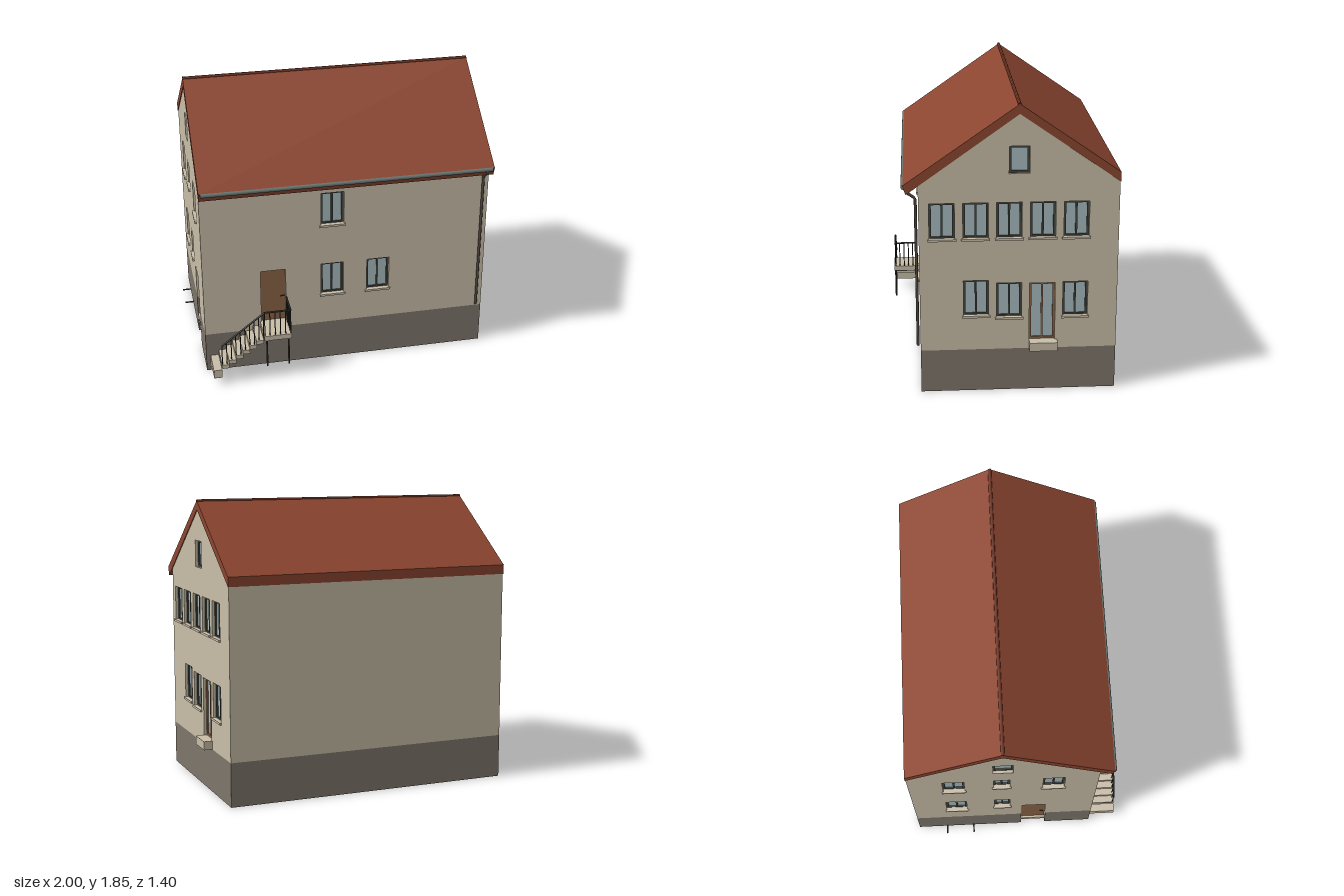
import * as THREE from 'three';

const mat = (name, color, side = THREE.FrontSide) => {
  const m = new THREE.MeshStandardMaterial({ color, side });
  m.name = name;
  return m;
};

export function createModel() {
  const M = {
    plaster: mat('plaster', 0xc8bda8),
    plinth: mat('plinth', 0x7d756b),
    roof: mat('roofTile', 0x8b4530),
    ridge: mat('darkTile', 0x6b3322),
    frame: mat('windowFrame', 0x43463f),
    glass: mat('glass', 0xa9bcc0),
    wood: mat('doorWood', 0x8b6446),
    zinc: mat('gutterZinc', 0x68736f, THREE.DoubleSide),
    iron: mat('iron', 0x3b3b38),
    pipe: mat('downpipe', 0x4f453d),
  };
  const house = new THREE.Group();
  house.name = 'house';

  const add = (parent, name, geo, material) => {
    const m = new THREE.Mesh(geo, material);
    m.name = name;
    parent.add(m);
    return m;
  };
  // box given by its min and max on each axis
  const box = (parent, name, material, x0, x1, y0, y1, z0, z1) => {
    const m = add(parent, name, new THREE.BoxGeometry(x1 - x0, y1 - y0, z1 - z0), material);
    m.position.set((x0 + x1) / 2, (y0 + y1) / 2, (z0 + z1) / 2);
    return m;
  };
  const poly = (pts) => new THREE.Shape(pts.map((p) => new THREE.Vector2(p[0], p[1])));
  const rect = (x0, x1, y0, y1) => poly([[x0, y0], [x1, y0], [x1, y1], [x0, y1]]);
  const extrude = (shape, depth) => new THREE.ExtrudeGeometry(shape, { depth, bevelEnabled: false });
  // round bar between two points
  const bar = (parent, name, a, b, r, material = M.iron) => {
    const A = new THREE.Vector3(...a), d = new THREE.Vector3(...b).sub(A);
    const m = add(parent, name, new THREE.CylinderGeometry(r, r, d.length(), 6), material);
    m.position.copy(A).addScaledVector(d, 0.5);
    m.quaternion.setFromUnitVectors(new THREE.Vector3(0, 1, 0), d.normalize());
  };

  // recessed window or door, in wall coordinates (z = 0 is the outer face)
  const opening = (wall, o) => {
    const [x0, x1, y0, y1] = o.r;
    const g = new THREE.Group();
    g.name = o.kind;
    wall.add(g);
    if (o.kind === 'door') {
      box(g, 'doorLeaf', M.wood, x0, x1, y0, y1, -0.03, -0.015);
      bar(g, 'doorHandle', [x1 - 0.035, y0 + 0.18, -0.006], [x1 - 0.01, y0 + 0.18, -0.006], 0.004);
      return;
    }
    const fm = o.kind === 'window' ? M.frame : M.wood, t = 0.014;
    const ring = rect(x0, x1, y0, y1);
    ring.holes.push(rect(x0 + t, x1 - t, y0 + t, y1 - t));
    add(g, 'frame', extrude(ring, 0.014), fm).position.z = -0.032;
    box(g, 'glass', M.glass, x0, x1, y0, y1, -0.034, -0.028);
    const c = (x0 + x1) / 2;
    if (!o.single) box(g, 'mullion', fm, c - 0.006, c + 0.006, y0 + t, y1 - t, -0.03, -0.02);
    if (o.kind === 'window' && !o.single)
      box(g, 'sill', M.plaster, x0 - 0.01, x1 + 0.01, y0 - 0.01, y0 + 0.004, -0.03, 0.012);
  };

  // wall panel with openings cut through it
  const wall = (name, outline, openings, pos, turn) => {
    const g = new THREE.Group();
    g.name = name;
    const s = poly(outline);
    const floor = outline[0][1];
    const holes = openings.filter((o) => o.r[2] > floor);
    for (const o of holes) s.holes.push(rect(...o.r));
    add(g, 'wallPanel', extrude(s, 0.04), M.plaster).position.z = -0.04;
    openings.forEach((o) => opening(g, o));
    g.position.set(...pos);
    g.rotation.y = turn;
    house.add(g);
  };
  const win = (c, y0, y1, w = 0.155, single = false) =>
    ({ kind: 'window', r: [c - w / 2, c + w / 2, y0, y1], single });

  const X = 0.94, ZF = 0.52, ZB = -0.70, RIDGE = -0.09, BASE = 0.28, EAVE = 1.36, APEX = 1.787;

  // plinth with a side entrance recess
  const plan = poly([[-X, -ZF], [X, -ZF], [X, -ZB], [-X, -ZB], [-X, -0.03], [-0.45, -0.03], [-0.45, -0.2], [-X, -0.2]]);
  add(house, 'plinth', extrude(plan, BASE), M.plinth).rotation.x = -Math.PI / 2;
  box(house, 'recessCeiling', M.plaster, -0.9, -0.42, BASE - 0.004, BASE + 0.02, 0.02, 0.21);
  for (let i = 0; i < 4; i++)
    box(house, 'innerStep', M.plaster, -0.86 + i * 0.1, -0.76 + i * 0.1, 0.1 + i * 0.035, 0.135 + i * 0.035, 0.03, 0.2);
  box(house, 'sideThreshold', M.plaster, -X, -0.86, 0.1, 0.14, 0.03, 0.2);

  // front and back walls
  const long = [[-X, BASE], [X, BASE], [X, EAVE], [-X, EAVE]];
  wall('frontWall', long, [
    win(-0.09, 1.01, 1.24, 0.15), win(-0.09, 0.495, 0.725, 0.15), win(0.215, 0.495, 0.725, 0.15),
    { kind: 'door', r: [-0.565, -0.4, 0.335, 0.715] },
  ], [0, 0, ZF], 0);
  wall('backWall', long, [], [0, 0, ZB], Math.PI);

  // gable wall on the left
  wall('leftGable', [[-ZF, BASE], [-ZB, BASE], [-ZB, EAVE], [-RIDGE, APEX], [-ZF, EAVE]], [
    ...[-0.38, -0.175, 0.03, 0.235, 0.44].map((u) => win(u, 1.01, 1.24)),
    win(-0.175, 0.505, 0.74), win(0.03, 0.49, 0.72), win(0.44, 0.49, 0.72),
    win(0.09, 1.42, 1.59, 0.125, true),
    { kind: 'glazedDoor', r: [0.155, 0.315, 0.335, 0.715] },
  ], [X, 0, 0], Math.PI / 2);
  box(house, 'doorStep', M.plaster, X - 0.01, 0.995, 0.28, 0.335, -0.33, -0.155);

  // gable wall on the right, with its doorway reaching into the plinth
  wall('rightGable', [[ZB, BASE], [0.035, BASE], [0.035, 0.53], [0.195, 0.53], [0.195, BASE], [ZF, BASE],
    [ZF, EAVE], [RIDGE, APEX], [ZB, EAVE]], [
    win(-0.41, 1.01, 1.24, 0.14), win(-0.1, 1.065, 1.24, 0.105), win(0.235, 1.01, 1.24, 0.14),
    win(-0.41, 0.49, 0.72, 0.14), win(-0.1, 0.53, 0.72, 0.105),
    win(-0.09, 1.42, 1.59, 0.125, true),
    { kind: 'door', r: [0.035, 0.195, 0.14, 0.53] },
  ], [-X, 0, 0], -Math.PI / 2);

  // saddle roof, longer at the front
  const S = 0.7, T = 0.06, zE = 0.605;
  const low = (z) => APEX - S * Math.abs(z - RIDGE);
  const section = poly([[-zE + 0.012, low(zE)], [-RIDGE, APEX], [-ZB + 0.003, low(ZB)], [-ZB + 0.003, low(ZB) + T],
    [-RIDGE, APEX + T], [-zE - 0.008, low(zE) + T - 0.004]]);
  const roof = add(house, 'roof', extrude(section, 1.89), M.roof);
  roof.rotation.y = Math.PI / 2;
  roof.position.x = -0.945;
  bar(house, 'ridgeCap', [-0.945, APEX + T - 0.004, RIDGE], [0.945, APEX + T - 0.004, RIDGE], 0.011, M.ridge);

  // half-round gutter and downpipe
  const gutter = add(house, 'gutter', new THREE.CylinderGeometry(0.014, 0.014, 1.87, 10, 1, true, -Math.PI / 2, Math.PI), M.zinc);
  gutter.rotation.z = Math.PI / 2;
  gutter.rotation.order = 'XYZ';
  gutter.position.set(0, 1.345, 0.608);
  const path = new THREE.CurvePath();
  const pts = [[0.9, 1.335, 0.605], [0.9, 1.3, 0.585], [0.9, 1.265, 0.536], [0.9, 0.3, 0.536]].map((p) => new THREE.Vector3(...p));
  for (let i = 0; i < 3; i++) path.add(new THREE.LineCurve3(pts[i], pts[i + 1]));
  add(house, 'downpipe', new THREE.TubeGeometry(path, 60, 0.009, 8), M.pipe);

  // front landing and stairs
  const Z0 = ZF, Z1 = 0.7, ZR = 0.69;
  box(house, 'landing', M.plaster, -0.575, -0.395, 0.3, 0.335, Z0, Z1);
  box(house, 'bottomStep', M.plaster, -0.912, -0.858, 0.055, 0.115, Z0, Z1);
  for (let i = 0; i < 6; i++) {
    const x = -0.833 + i * 0.046, y = 0.137 + i * 0.0315;
    box(house, 'step', M.plaster, x - 0.024, x + 0.024, y - 0.014, y + 0.014, Z0, Z1);
  }
  for (const x of [-0.558, -0.415]) bar(house, 'landingPost', [x, 0.1, ZR], [x, 0.31, ZR], 0.006);

  // railing
  bar(house, 'stairHandrail', [-0.855, 0.29, ZR], [-0.57, 0.51, ZR], 0.006);
  bar(house, 'frontHandrail', [-0.57, 0.51, ZR], [-0.4, 0.51, ZR], 0.006);
  bar(house, 'sideHandrail', [-0.4, 0.51, ZR], [-0.4, 0.51, 0.53], 0.006);
  for (let i = 0; i < 10; i++) {
    const x = -0.853 + i * 0.0305, k = (x + 0.855) / 0.285;
    bar(house, 'stairBaluster', [x, 0.115 + k * 0.2, ZR], [x, 0.29 + k * 0.22, ZR], 0.0035);
  }
  for (let i = 0; i < 6; i++) {
    const x = -0.57 + i * 0.034, z = ZR - i * 0.031;
    bar(house, 'frontBaluster', [x, 0.33, ZR], [x, 0.51, ZR], 0.0035);
    bar(house, 'sideBaluster', [-0.4, 0.33, z], [-0.4, 0.51, z], 0.0035);
  }

  // short drain pipes at the foot of the right wall
  for (const [z, y] of [[-0.5, 0.02], [-0.31, 0.028]]) bar(house, 'drainPipe', [-1, y, z], [-0.93, y, z], 0.005);

  return house;
}
